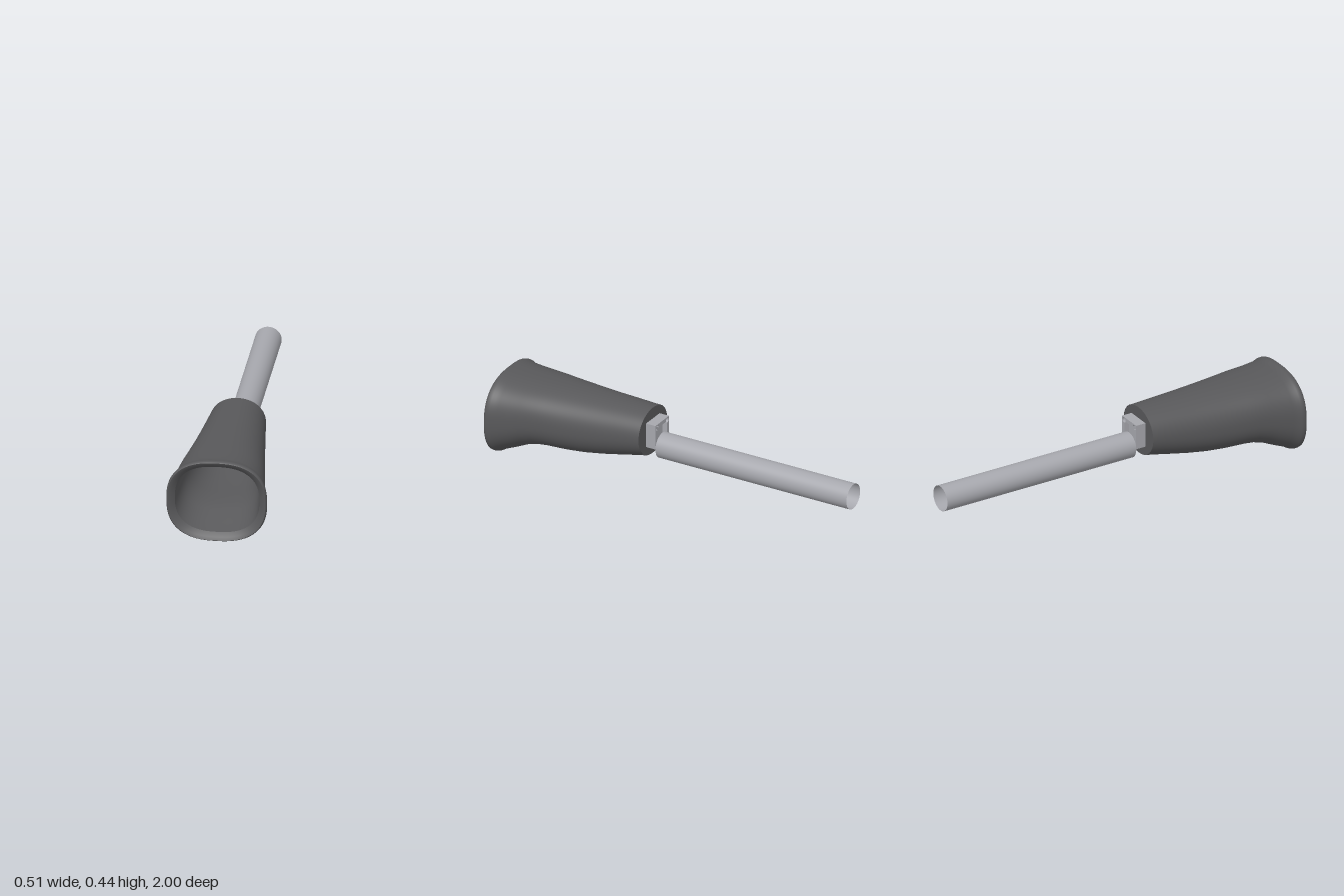
import * as THREE from 'three';

const SEGMENTS = 96;

// Skin through rounded cross-sections: [z, top, bottom, halfWidth, squareness]
function loft(rows) {
  const pos = [], idx = [];
  rows.forEach(([z, top, bottom, w, n], r) => {
    const cy = (top + bottom) / 2, h = (top - bottom) / 2;
    for (let i = 0; i < SEGMENTS; i++) {
      const t = (i / SEGMENTS) * Math.PI * 2, c = Math.cos(t), s = Math.sin(t);
      pos.push(
        w * Math.sign(c) * Math.abs(c) ** (2 / n),
        cy + h * Math.sign(s) * Math.abs(s) ** (2 / n),
        z
      );
      if (r === rows.length - 1) continue;
      const a = r * SEGMENTS + i, b = r * SEGMENTS + ((i + 1) % SEGMENTS);
      idx.push(a, b, b + SEGMENTS, a, b + SEGMENTS, a + SEGMENTS);
    }
  });
  const g = new THREE.BufferGeometry();
  g.setAttribute('position', new THREE.Float32BufferAttribute(pos, 3));
  g.setIndex(idx);
  g.computeVertexNormals();
  return g;
}

const BOLT = 0.049, BOLT_R = 0.014, BOLT_Y = 0.289;
const corners = [[1, 1], [-1, 1], [-1, -1], [1, -1]];

function addBoltHoles(shape, cy) {
  for (const [sx, sy] of corners) {
    shape.holes.push(new THREE.Path().absarc(sx * BOLT, cy + sy * BOLT, BOLT_R, 0, Math.PI * 2, true));
  }
}

function square(half) {
  return new THREE.Shape(corners.map(([x, y]) => new THREE.Vector2(x * half, y * half)));
}

export function createModel() {
  const group = new THREE.Group();
  const rubber = new THREE.MeshStandardMaterial({ color: 0x58585a, side: THREE.DoubleSide });
  rubber.name = 'dark rubber';
  const metal = new THREE.MeshStandardMaterial({ color: 0xa6a7ad, side: THREE.DoubleSide });
  metal.name = 'grey metal';

  const add = (name, geometry, material, x = 0, y = 0, z = 0) => {
    const mesh = new THREE.Mesh(geometry, material);
    mesh.name = name;
    mesh.position.set(x, y, z);
    group.add(mesh);
    return mesh;
  };

  // Flared cup, outside, with a bead round the mouth
  add('cupOuter', loft([
    [0.165, 0.416, 0.163, 0.141, 2.1],
    [0.2, 0.416, 0.157, 0.145, 2.12],
    [0.3, 0.417, 0.136, 0.156, 2.17],
    [0.4, 0.417, 0.116, 0.168, 2.2],
    [0.5, 0.418, 0.101, 0.18, 2.25],
    [0.6, 0.419, 0.094, 0.192, 2.3],
    [0.7, 0.42, 0.094, 0.205, 2.35],
    [0.76, 0.421, 0.09, 0.213, 2.4],
    [0.82, 0.422, 0.073, 0.221, 2.42],
    [0.88, 0.423, 0.045, 0.23, 2.45],
    [0.93, 0.425, 0.024, 0.238, 2.5],
    [0.955, 0.427, 0.013, 0.243, 2.5],
    [0.97, 0.433, 0.003, 0.251, 2.5],
    [0.985, 0.435, 0, 0.254, 2.5],
    [0.995, 0.433, 0.002, 0.252, 2.5],
    [1, 0.428, 0.006, 0.247, 2.5],
  ]), rubber);

  // Lip sloping into the mouth
  add('cupLip', loft([
    [1, 0.428, 0.006, 0.247, 2.5],
    [0.992, 0.412, 0.022, 0.231, 2.5],
    [0.97, 0.396, 0.041, 0.213, 2.5],
  ]), rubber);

  // Inside of the cup
  add('cupInner', loft([
    [0.97, 0.396, 0.041, 0.213, 2.5],
    [0.9, 0.395, 0.062, 0.206, 2.45],
    [0.82, 0.395, 0.093, 0.197, 2.42],
    [0.75, 0.394, 0.11, 0.19, 2.4],
    [0.65, 0.393, 0.113, 0.177, 2.32],
    [0.5, 0.392, 0.12, 0.16, 2.25],
    [0.35, 0.391, 0.142, 0.143, 2.2],
    [0.18, 0.39, 0.172, 0.128, 2.1],
  ]), rubber);

  // End wall of the cup with four bolt holes
  const wall = new THREE.Shape().absellipse(0, 0.2895, 0.14, 0.126, 0, Math.PI * 2);
  addBoltHoles(wall, BOLT_Y);
  add('cupEndWall', new THREE.ExtrudeGeometry(wall, { depth: 0.015, bevelEnabled: false, curveSegments: 48 }),
    rubber, 0, 0, 0.165);

  // Square mounting bracket: drilled base plate
  const plate = square(0.066);
  addBoltHoles(plate, 0);
  add('bracketPlate', new THREE.ExtrudeGeometry(plate, { depth: 0.03, bevelEnabled: false }),
    metal, 0, BOLT_Y, 0.136);

  // Raised bracket border, relieved round each bolt hole
  const inner = 0.045, ring = square(0.066), opening = new THREE.Path();
  const dip = Math.asin((BOLT - inner) / BOLT_R);
  for (let k = 0; k < 4; k++) {
    const [sx, sy] = corners[(4 - k) % 4], turn = -k * Math.PI / 2;
    opening.absarc(sx * BOLT, sy * BOLT, BOLT_R, turn + Math.PI + dip, turn - Math.PI / 2 - dip, true);
  }
  opening.closePath();
  ring.holes.push(opening);
  add('bracketBorder', new THREE.ExtrudeGeometry(ring, { depth: 0.026, bevelEnabled: false }),
    metal, 0, BOLT_Y, 0.11);

  // Long open tube
  const tube = new THREE.CylinderGeometry(0.067, 0.067, 1.11, 48, 1, true).rotateX(Math.PI / 2);
  add('tube', tube, metal, 0, 0.222, -0.445);

  return group;
}
